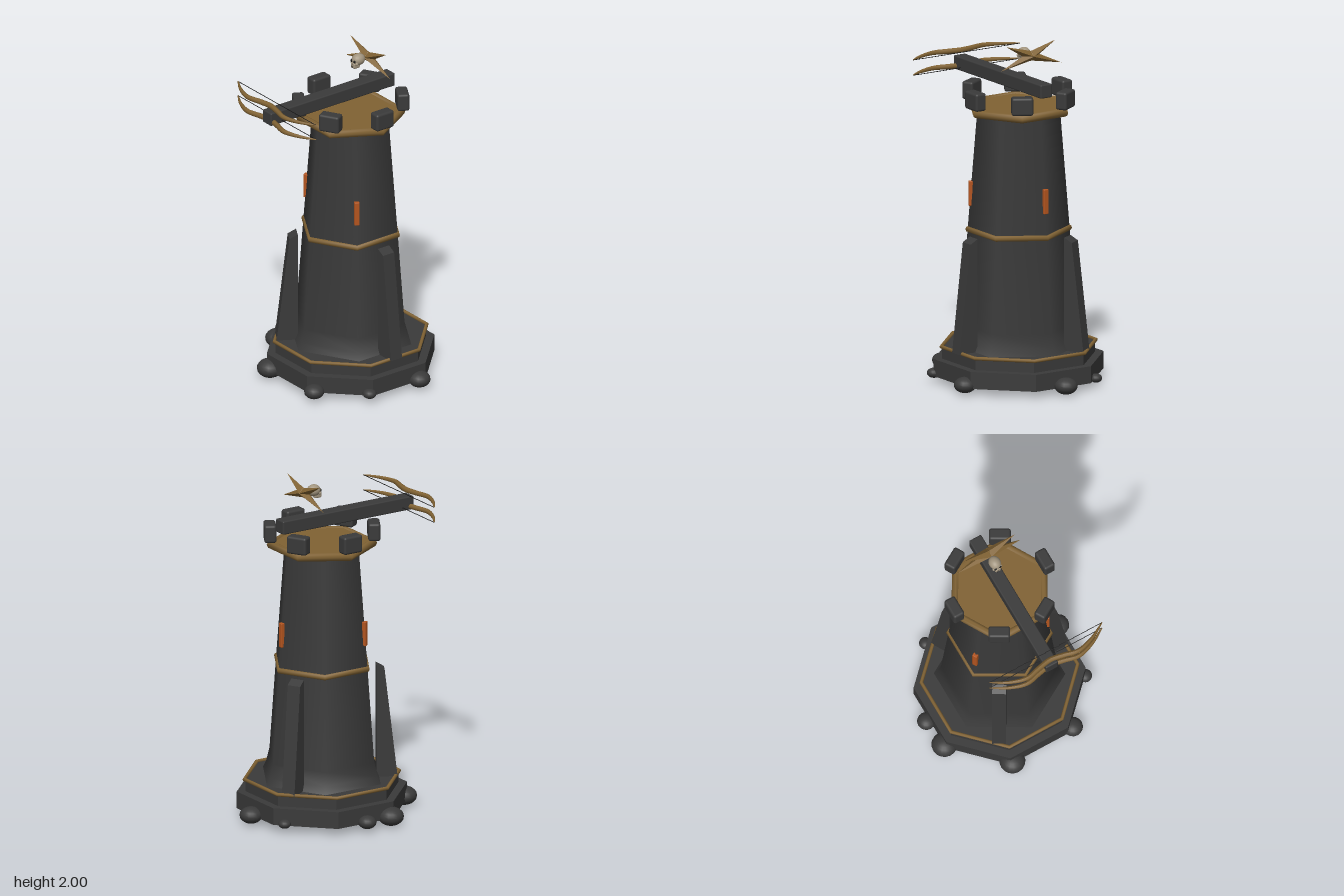
import * as THREE from 'three';
import { RoundedBoxGeometry } from 'three/addons/geometries/RoundedBoxGeometry.js';

const paint = (name, color) => Object.assign(new THREE.MeshStandardMaterial({ color }), { name });

export function createModel() {
  const stone = paint('dark stone', 0x3a3a3a);
  const gold = paint('old gold', 0x806233);
  const ember = paint('ember orange', 0xb4551f);
  const bone = paint('bone', 0xa2957f);
  const black = paint('black', 0x141414);

  const model = new THREE.Group();
  model.name = 'crossbowTower';
  const tower = new THREE.Group();
  tower.name = 'tower';
  tower.position.z = -0.04;
  model.add(tower);

  const add = (parent, name, geometry, material, x = 0, y = 0, z = 0) => {
    const mesh = new THREE.Mesh(geometry, material);
    mesh.name = name;
    mesh.position.set(x, y, z);
    parent.add(mesh);
    return mesh;
  };
  const flat = (geometry) => {
    const g = geometry.index ? geometry.toNonIndexed() : geometry;
    g.computeVertexNormals();
    return g;
  };
  const prism = (r, h, sides, turn) => flat(new THREE.CylinderGeometry(r, r, h, sides).rotateY(turn));
  const ring = (r, tube, sides, turn) =>
    new THREE.TorusGeometry(r, tube, 8, sides).rotateX(Math.PI / 2).rotateY(turn);

  // Stepped octagonal base with a gold trim
  add(tower, 'baseLowerStep', prism(0.496, 0.1, 8, Math.PI / 8), stone, 0, 0.09, 0);
  add(tower, 'baseUpperStep', prism(0.446, 0.07, 8, Math.PI / 8), stone, 0, 0.172, 0);
  add(tower, 'baseTrim', ring(0.451, 0.011, 8, Math.PI / 8), gold, 0, 0.21, 0);

  // Boulders around the foot: x, z, radius
  const boulders = [
    [0, -0.525, 0.067], [-0.25, -0.46, 0.036], [0.465, -0.18, 0.064], [0.447, 0.165, 0.04],
    [0.232, 0.4, 0.058], [-0.172, 0.41, 0.075], [-0.46, 0.13, 0.075], [-0.48, -0.045, 0.053],
  ];
  for (const [x, z, r] of boulders) {
    add(model, 'boulder', new THREE.SphereGeometry(r, 16, 12), stone, x, 0.055, z).scale.y = 0.72;
  }

  // Six-sided shaft, flared at the foot
  const profile = [[0.38, 0.2], [0.355, 0.25], [0.335, 0.33], [0.293, 0.88], [0.237, 1.59]];
  add(tower, 'shaft', new THREE.LatheGeometry(profile.map(([r, y]) => new THREE.Vector2(r, y)), 6), stone);
  add(tower, 'middleBand', ring(0.288, 0.018, 6, Math.PI / 6), gold, 0, 0.886, 0);

  // Three buttresses, three glowing slots
  const side = new THREE.Shape([[0.31, 0.205], [0.432, 0.205], [0.358, 0.845], [0.31, 0.872]]
    .map(([x, y]) => new THREE.Vector2(x, y)));
  for (let i = 0; i < 3; i++) {
    const a = (i * Math.PI * 2) / 3;
    const buttress = new THREE.ExtrudeGeometry(side, { depth: 0.08, bevelEnabled: false });
    add(tower, 'buttress', buttress.translate(0, 0, -0.04).rotateY(a), stone);
    const b = a + Math.PI / 6;
    const slot = new RoundedBoxGeometry(0.024, 0.145, 0.03, 2, 0.004);
    add(tower, 'glowingSlot', slot, ember, 0.275 * Math.cos(b), 1.098, 0.275 * Math.sin(b)).rotation.y = -b;
  }

  // Platform and battlements
  add(tower, 'platformFloor', prism(0.3, 0.034, 6, Math.PI / 6), gold, 0, 1.598, 0);
  add(tower, 'platformRim', ring(0.291, 0.025, 6, 0), gold, 0, 1.598, 0);
  for (let i = 0; i < 6; i++) {
    const a = (i * Math.PI) / 3;
    const merlon = new RoundedBoxGeometry(0.07, 0.105, 0.125, 3, 0.014);
    add(tower, 'merlon', merlon, stone, 0.298 * Math.cos(a), 1.677, 0.298 * Math.sin(a)).rotation.y = -a;
  }

  // Crossbow: stock, two tapered bows and their strings
  const crossbow = new THREE.Group();
  crossbow.name = 'crossbow';
  model.add(crossbow);
  add(crossbow, 'stock', new RoundedBoxGeometry(0.08, 0.08, 0.895, 3, 0.008), stone, 0.002, 1.75, 0.118);
  const bowCurve = new THREE.CatmullRomCurve3(
    [[-0.37, 0.49], [-0.27, 0.545], [-0.17, 0.572], [-0.08, 0.553], [0, 0.54],
      [0.08, 0.553], [0.17, 0.572], [0.27, 0.545], [0.37, 0.49]]
      .map(([x, z]) => new THREE.Vector3(x, 0, z)));
  const steps = 48, radial = 8;
  const bowGeometry = new THREE.TubeGeometry(bowCurve, steps, 0.016, radial);
  const bp = bowGeometry.attributes.position;
  const v = new THREE.Vector3();
  for (let i = 0; i < bp.count; i++) {
    const u = Math.floor(i / (radial + 1)) / steps;
    const centre = bowCurve.getPointAt(u);
    const taper = 0.15 + 0.85 * Math.pow(Math.sin(Math.PI * u), 0.7);
    v.fromBufferAttribute(bp, i).sub(centre).multiplyScalar(taper).add(centre);
    bp.setXYZ(i, v.x, v.y, v.z);
  }
  bowGeometry.computeVertexNormals();
  for (const y of [1.73, 1.82]) {
    add(crossbow, 'bow', bowGeometry, gold, 0.003, y, 0);
    const string = new THREE.CylinderGeometry(0.002, 0.002, 0.735, 6).rotateZ(Math.PI / 2);
    add(crossbow, 'bowString', string, black, 0.003, y, 0.49);
  }

  // Four-pointed gold star behind a skull
  const crest = new THREE.Group();
  crest.name = 'crest';
  model.add(crest);
  const hub = new THREE.Vector3(0, 1.927, -0.166);
  for (const [x, y] of [[0.17, 2], [-0.17, 2], [0.21, 1.86], [-0.21, 1.86]]) {
    const arm = new THREE.Vector3(x, y - hub.y, 0);
    const length = arm.length();
    const spike = new THREE.ConeGeometry(1, 1, 4).translate(0, 0.5, 0).scale(0.028, length, 0.031);
    add(crest, 'starSpike', flat(spike), gold, hub.x, hub.y, hub.z)
      .quaternion.setFromUnitVectors(new THREE.Vector3(0, 1, 0), arm.normalize());
  }
  add(crest, 'starHub', flat(new THREE.OctahedronGeometry(0.032)), gold, hub.x, hub.y, hub.z);

  const skull = new THREE.Group();
  skull.name = 'skull';
  skull.position.set(0, 1.927, -0.092);
  crest.add(skull);
  add(skull, 'cranium', new THREE.SphereGeometry(0.036, 20, 14).scale(0.97, 0.95, 1.15), bone, 0, 0.003, -0.004);
  add(skull, 'jaw', new RoundedBoxGeometry(0.038, 0.036, 0.045, 3, 0.009), bone, 0, -0.026, 0.018);
  for (const s of [-1, 1]) {
    add(skull, 'eyeSocket', new THREE.SphereGeometry(0.009, 10, 8).scale(1, 1, 0.5), black, s * 0.014, 0, 0.034);
    add(skull, 'cheekbone', new THREE.SphereGeometry(0.009, 10, 8), bone, s * 0.022, -0.013, 0.024);
  }
  add(skull, 'noseHole', flat(new THREE.ConeGeometry(0.005, 0.011, 3)), black, 0, -0.013, 0.038);
  for (let i = -1; i <= 1; i++) {
    add(skull, 'toothGap', new THREE.BoxGeometry(0.0015, 0.012, 0.004), black, i * 0.009, -0.034, 0.0395);
  }
  return model;
}
